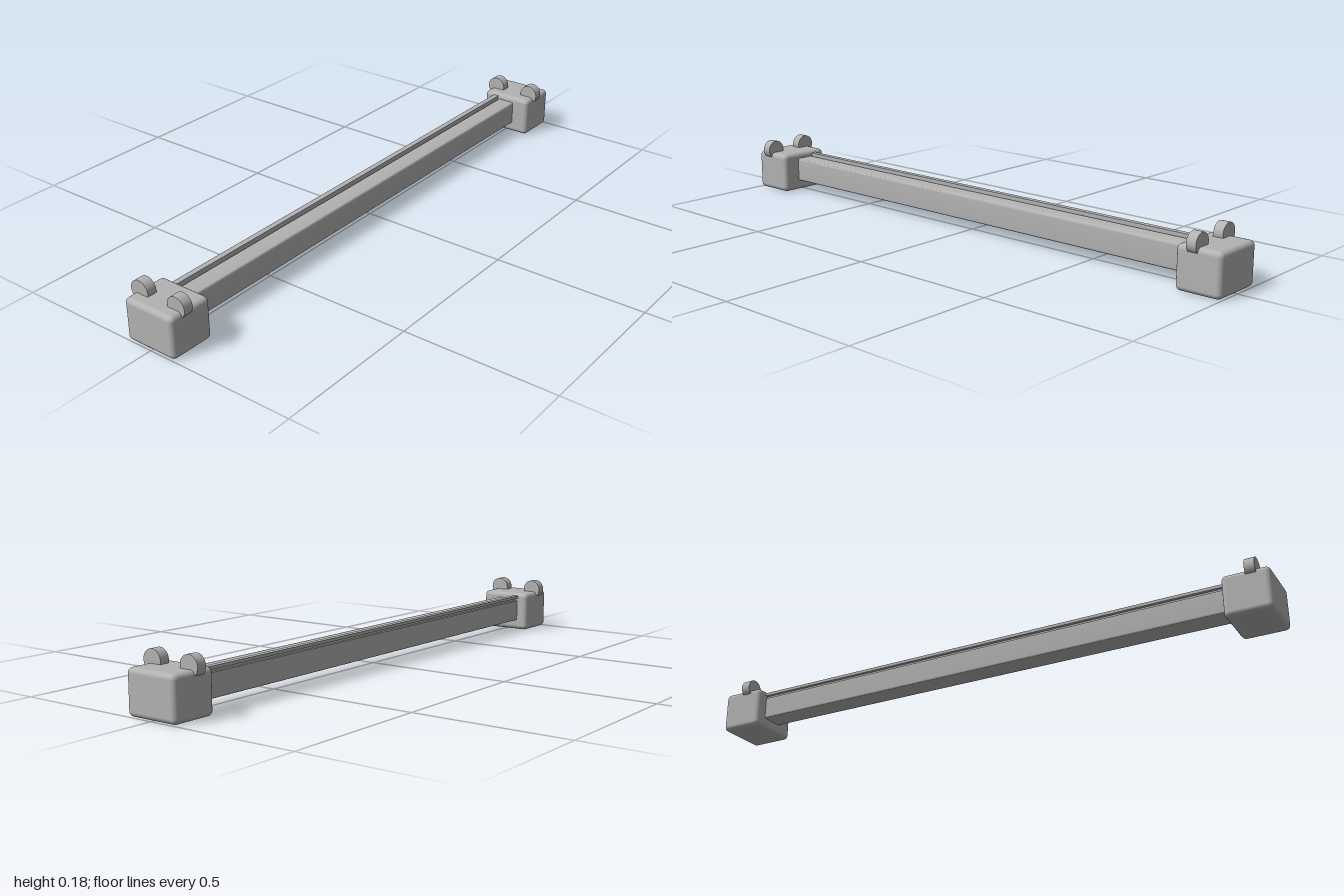
import * as THREE from 'three';
import { toCreasedNormals } from 'three/addons/utils/BufferGeometryUtils.js';
import { RoundedBoxGeometry } from 'three/addons/geometries/RoundedBoxGeometry.js';

export function createModel() {
  const model = new THREE.Group();
  model.name = 'railBeam';
  const grey = new THREE.MeshStandardMaterial({ color: 0xb3b3b3 });
  grey.name = 'plain grey';

  const add = (parent, name, geometry, x, y, z) => {
    const mesh = new THREE.Mesh(geometry, grey);
    mesh.name = name;
    mesh.position.set(x, y, z);
    parent.add(mesh);
    return mesh;
  };

  // Beam cross-section (u = -z, v = y): rounded front top, narrow neck and cap rail at the back
  const s = new THREE.Shape();
  s.moveTo(-0.024, 0.035);
  s.lineTo(0.046, 0.035);
  s.quadraticCurveTo(0.052, 0.035, 0.052, 0.041);
  s.lineTo(0.052, 0.11);
  s.lineTo(0.044, 0.11);
  s.lineTo(0.044, 0.119);
  s.lineTo(0.055, 0.119);
  s.lineTo(0.055, 0.129);
  s.lineTo(0.036, 0.129);
  s.lineTo(0.036, 0.108);
  s.lineTo(0.03, 0.108);
  s.lineTo(0.03, 0.118);
  s.lineTo(-0.022, 0.118);
  s.quadraticCurveTo(-0.03, 0.118, -0.03, 0.11);
  s.lineTo(-0.03, 0.041);
  s.quadraticCurveTo(-0.03, 0.035, -0.024, 0.035);
  const beam = new THREE.ExtrudeGeometry(s, { depth: 1.72, bevelEnabled: false, curveSegments: 6 });
  beam.translate(0, 0, -0.86).rotateY(Math.PI / 2);
  add(model, 'beam', toCreasedNormals(beam, 0.6), 0, 0, 0);

  // End blocks, each with a pair of wheels let into the top
  const blockShape = new RoundedBoxGeometry(0.15, 0.138, 0.184, 5, 0.016);
  const wheelShape = new THREE.CylinderGeometry(0.033, 0.033, 0.032, 40).rotateZ(Math.PI / 2);
  for (const [name, x] of [['rightEnd', -0.925], ['leftEnd', 0.925]]) {
    const end = new THREE.Group();
    end.name = name;
    end.position.x = x;
    model.add(end);
    add(end, 'endBlock', blockShape, 0, 0.069, 0);
    for (const side of [-1, 1]) add(end, 'wheel', wheelShape, -0.018, 0.147, side * 0.07);
  }
  return model;
}
